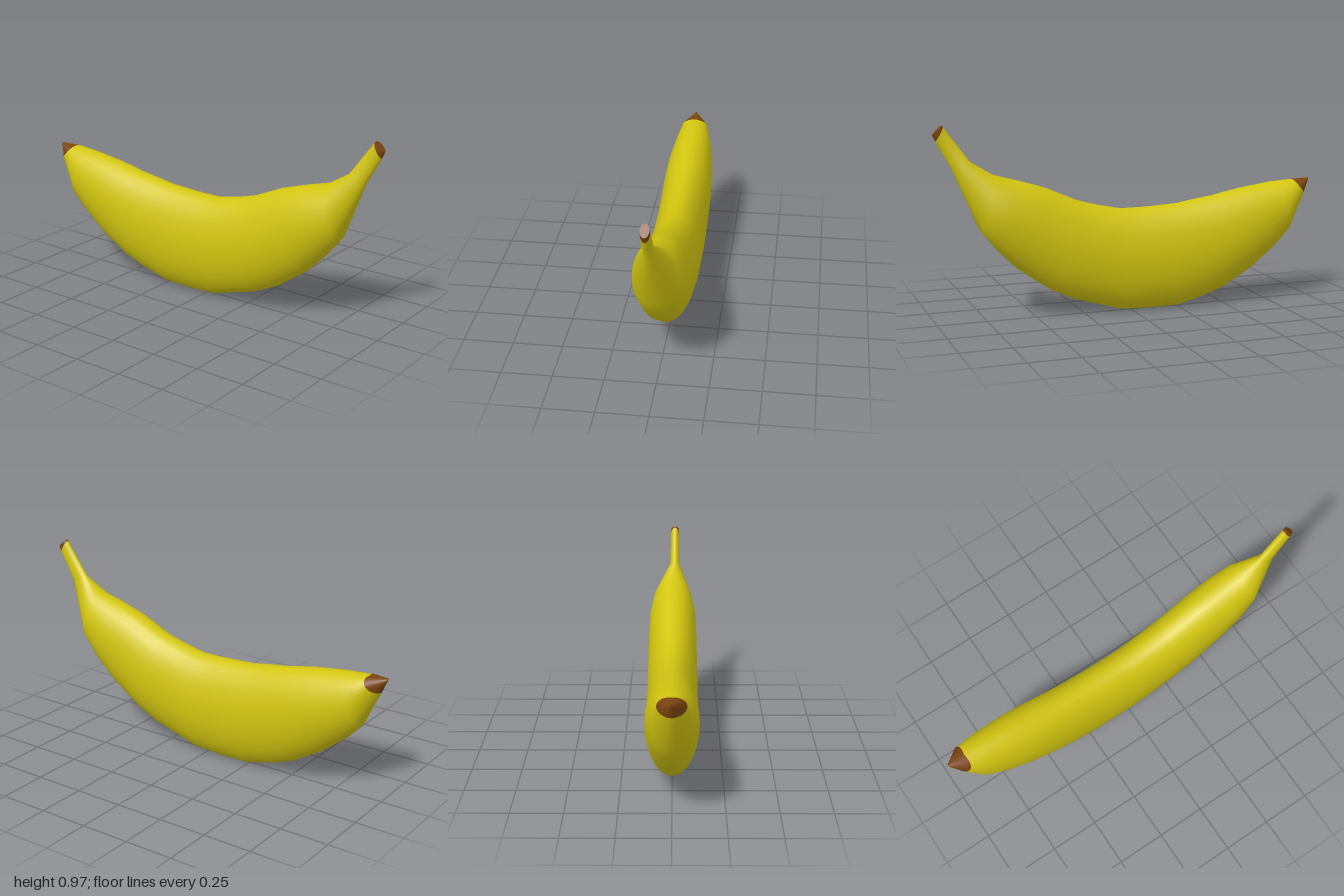
import * as THREE from 'three';

const SIDES = 28;

// Cross-sections from blossom tip to stem: [topX, topY, bottomX, bottomY, halfWidth, centreZ, bow]
const SECTIONS = [
  [-1.0, 0.637, -0.995, 0.615, 0.006, 0, 0],
  [-0.907, 0.632, -0.972, 0.56, 0.068, 0, 0.018],
  [-0.78, 0.625, -0.88, 0.37, 0.102, 0, 0],
  [-0.6, 0.6, -0.8, 0.285, 0.122, 0, 0],
  [-0.45, 0.57, -0.67, 0.18, 0.13, 0, 0],
  [-0.34, 0.555, -0.52, 0.09, 0.131, 0, 0],
  [-0.25, 0.54, -0.4, 0.045, 0.131, 0, 0],
  [-0.14, 0.534, -0.25, 0.006, 0.131, 0, 0],
  [-0.05, 0.53, -0.08, 0.003, 0.131, 0, 0],
  [0.06, 0.53, 0.06, 0.01, 0.131, 0, 0],
  [0.18, 0.555, 0.3, 0.08, 0.131, 0, 0],
  [0.29, 0.585, 0.43, 0.14, 0.131, 0, 0],
  [0.45, 0.655, 0.6, 0.26, 0.13, 0, 0],
  [0.58, 0.695, 0.7, 0.36, 0.125, 0, 0],
  [0.71, 0.73, 0.78, 0.46, 0.107, 0, 0],
  [0.82, 0.798, 0.91, 0.765, 0.025, 0.011, 0],
  [0.945, 0.968, 0.984, 0.9, 0.022, 0.012, 0],
  [0.952, 0.976, 0.998, 0.93, 0.021, 0.012, 0],
];

// Elliptical ring of points, running from the top towards the front
function ring([tx, ty, bx, by, halfWidth, z, bow]) {
  const points = [];
  for (let j = 0; j < SIDES; j++) {
    const a = (j / SIDES) * Math.PI * 2;
    const c = Math.cos(a) / 2;
    const s = Math.sin(a);
    points.push(
      (tx + bx) / 2 + (tx - bx) * c + bow * Math.abs(s),
      (ty + by) / 2 + (ty - by) * c,
      z + halfWidth * s
    );
  }
  return points;
}

function buildGeometry(positions, index) {
  const geometry = new THREE.BufferGeometry();
  geometry.setAttribute('position', new THREE.Float32BufferAttribute(positions, 3));
  geometry.setIndex(index);
  geometry.computeVertexNormals();
  return geometry;
}

// Smooth skin joining all the rings
function skinGeometry() {
  const index = [];
  for (let i = 0; i < SECTIONS.length - 1; i++) {
    for (let j = 0; j < SIDES; j++) {
      const k = (j + 1) % SIDES;
      const a = i * SIDES + j, b = i * SIDES + k;
      index.push(a, b, b + SIDES, a, b + SIDES, a + SIDES);
    }
  }
  const geometry = buildGeometry(SECTIONS.flatMap(ring), index);
  // Brown first and last bands, yellow between
  const band = SIDES * 6;
  const last = (SECTIONS.length - 2) * band;
  geometry.addGroup(0, band, 1);
  geometry.addGroup(band, last - band, 0);
  geometry.addGroup(last, band, 1);
  return geometry;
}

// Flat cap closing one end
function capGeometry(section, facesStem) {
  const [tx, ty, bx, by, , z] = section;
  const index = [];
  for (let j = 0; j < SIDES; j++) {
    const k = (j + 1) % SIDES;
    index.push(SIDES, facesStem ? j : k, facesStem ? k : j);
  }
  return buildGeometry([...ring(section), (tx + bx) / 2, (ty + by) / 2, z], index);
}

export function createModel() {
  const yellow = new THREE.MeshStandardMaterial({ color: 0xd2c510 });
  yellow.name = 'peelYellow';
  const brown = new THREE.MeshStandardMaterial({ color: 0x7a4510 });
  brown.name = 'endBrown';

  const group = new THREE.Group();
  group.name = 'banana';
  const add = (name, geometry, material) => {
    const mesh = new THREE.Mesh(geometry, material);
    mesh.name = name;
    group.add(mesh);
  };

  add('peel', skinGeometry(), [yellow, brown]);
  add('blossomTipCap', capGeometry(SECTIONS[0], false), brown);
  add('stemEndCap', capGeometry(SECTIONS[SECTIONS.length - 1], true), brown);
  return group;
}
